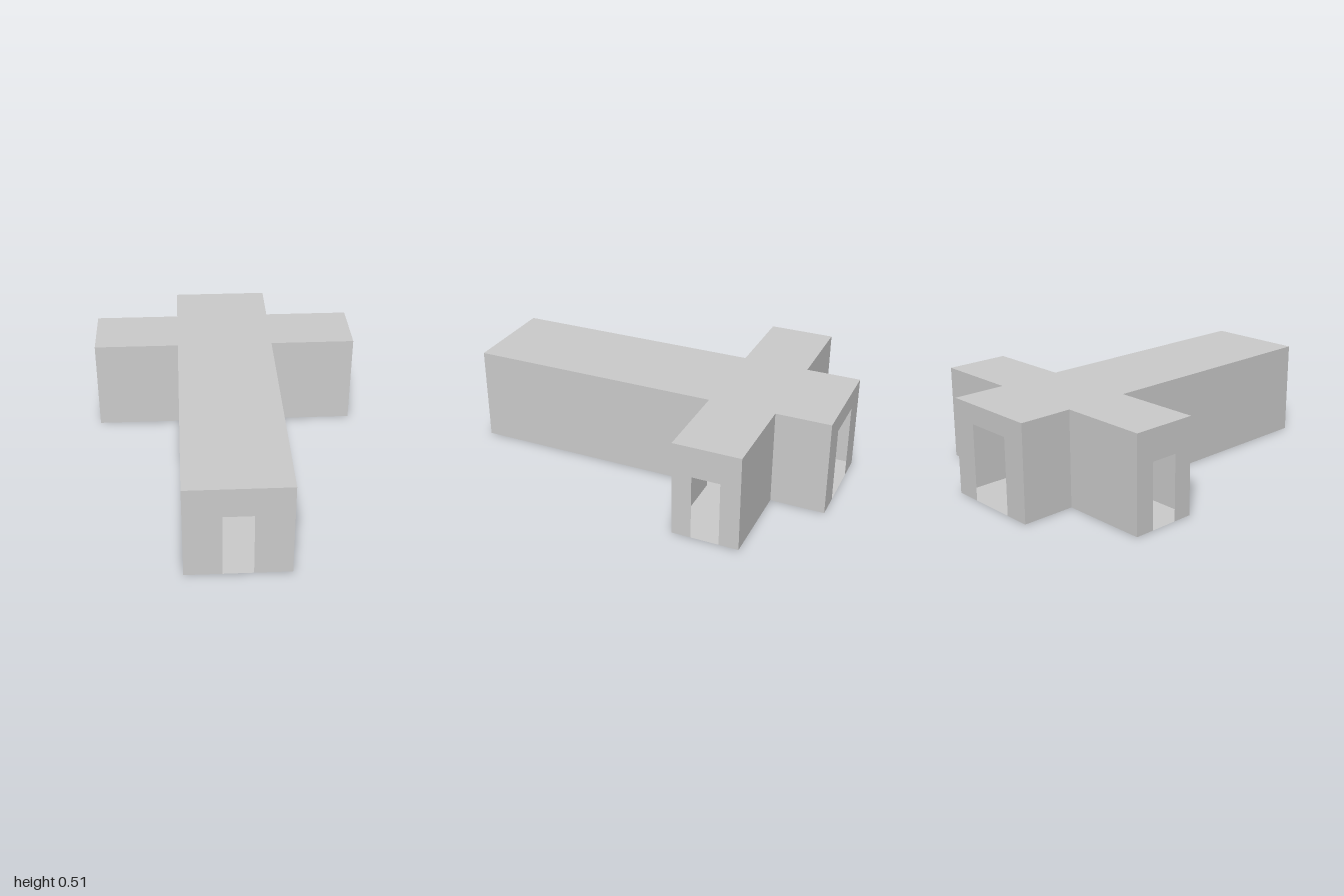
import * as THREE from 'three';

const H = 0.515;                 // wall height
const W = 0.268, E = 0.74;       // half width of the hall, reach of the wings
const ZF = -0.355, ZB = -0.71;   // front and back of the wings

// Cross-shaped plan as [x, z], running so that walls face outward
const plan = [
  [-W, 1], [W, 1], [W, ZF], [E, ZF], [E, ZB], [W, ZB],
  [W, -1], [-W, -1], [-W, ZB], [-E, ZB], [-E, ZF], [-W, ZF],
];

// Doorways by wall index: [width, height]
const doors = { 0: [0.154, 0.353], 3: [0.148, 0.35], 6: [0.256, 0.41], 9: [0.148, 0.35] };

const wallNames = [
  'frontWall', 'hallLeftWall', 'leftWingFrontWall', 'leftWingEndWall', 'leftWingBackWall', 'rearLeftWall',
  'backWall', 'rearRightWall', 'rightWingBackWall', 'rightWingEndWall', 'rightWingFrontWall', 'hallRightWall',
];

// Upright panel of a given length, with an optional centred doorway cut from its foot
function wallGeometry(length, door) {
  const pts = [[0, 0]];
  if (door) {
    const a = (length - door[0]) / 2, b = (length + door[0]) / 2;
    pts.push([a, 0], [a, door[1]], [b, door[1]], [b, 0]);
  }
  pts.push([length, 0], [length, H], [0, H]);
  return new THREE.ShapeGeometry(new THREE.Shape(pts.map(p => new THREE.Vector2(...p))));
}

export function createModel() {
  const group = new THREE.Group();
  group.name = 'crossPlanBuilding';
  const material = new THREE.MeshStandardMaterial({ color: 0xcccccc, side: THREE.DoubleSide });

  const add = (name, geometry) => {
    const mesh = new THREE.Mesh(geometry, material);
    mesh.name = name;
    group.add(mesh);
    return mesh;
  };

  // Thin walls around the plan
  plan.forEach(([x, z], i) => {
    const [x2, z2] = plan[(i + 1) % plan.length];
    const dx = x2 - x, dz = z2 - z;
    const wall = add(wallNames[i], wallGeometry(Math.hypot(dx, dz), doors[i]));
    wall.position.set(x, 0, z);
    wall.rotation.y = Math.atan2(-dz, dx);
  });

  // Floor and flat roof share the plan
  const outline = new THREE.Shape(plan.map(p => new THREE.Vector2(...p)));
  add('floor', new THREE.ShapeGeometry(outline).rotateX(Math.PI / 2));
  add('roof', new THREE.ShapeGeometry(outline).rotateX(Math.PI / 2).translate(0, H, 0));

  return group;
}
